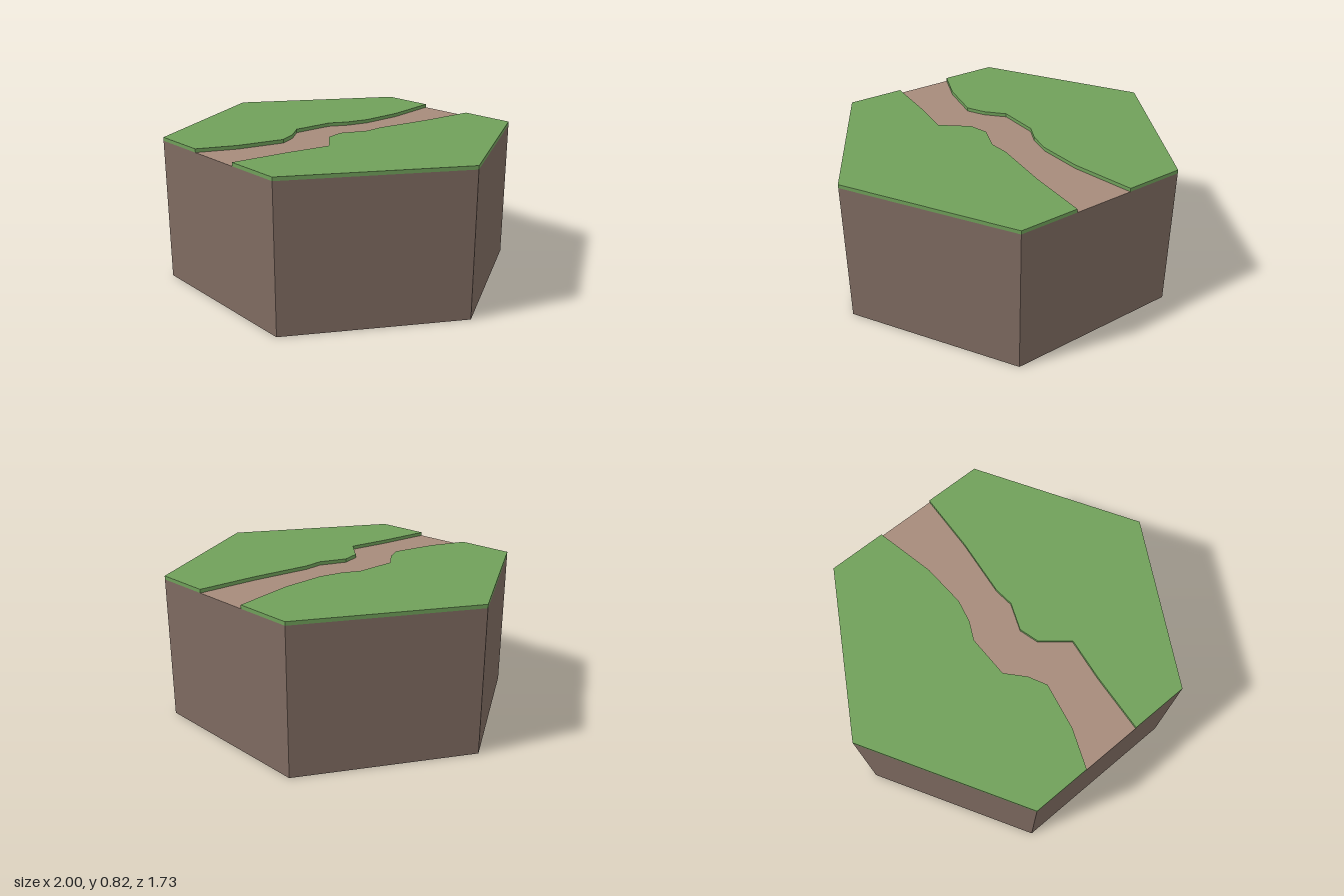
import * as THREE from 'three';

const H = 0.8, TOP = 0.82, Z = Math.sqrt(3) / 2;

// Path banks as [x, z], back to front
const rightBank = [[-0.17, -Z], [-0.1, -0.52], [-0.09, -0.27], [-0.12, -0.14], [-0.17, -0.04],
  [-0.17, 0.2], [-0.08, 0.3], [-0.03, 0.4], [-0.085, 0.66], [-0.17, Z]];
const leftBank = [[0.17, -Z], [0.15, -0.52], [0.11, -0.19], [0.12, -0.08], [0.06, 0.07],
  [0.09, 0.18], [0.235, 0.3], [0.2, 0.54], [0.17, Z]];

// Outline on the ground plane; laid flat by rotateX(-90 degrees)
const outline = (points) => new THREE.Shape(points.map(([x, z]) => new THREE.Vector2(x, -z)));

export function createModel() {
  const group = new THREE.Group();
  const material = (color) => new THREE.MeshStandardMaterial({ color, flatShading: true });
  const dirt = material(0x7f6b61), grass = material(0x70a05a), trail = material(0xa68b7b);

  const add = (name, geometry, mat, y) => {
    const mesh = new THREE.Mesh(geometry, mat);
    mesh.name = name;
    mesh.position.y = y;
    group.add(mesh);
  };

  // Hexagonal earth block: walls and underside
  add('earthWalls', new THREE.CylinderGeometry(1, 1, H, 6, 1, true, Math.PI / 6), dirt, H / 2);
  add('earthUnderside', new THREE.CircleGeometry(1, 6).rotateX(Math.PI / 2), dirt, 0);

  // Sunken path surface between the banks
  const path = new THREE.ShapeGeometry(outline([...rightBank, ...[...leftBank].reverse()]));
  add('path', path.rotateX(-Math.PI / 2), trail, H);

  // Raised grass slab on each side of the path
  for (const [name, bank, side] of [['grassRight', rightBank, -1], ['grassLeft', leftBank, 1]]) {
    const shape = outline([...bank, [0.5 * side, Z], [side, 0], [0.5 * side, -Z]]);
    const slab = new THREE.ExtrudeGeometry(shape, { depth: TOP - H, bevelEnabled: false });
    add(name, slab.rotateX(-Math.PI / 2), grass, H);
  }
  return group;
}
